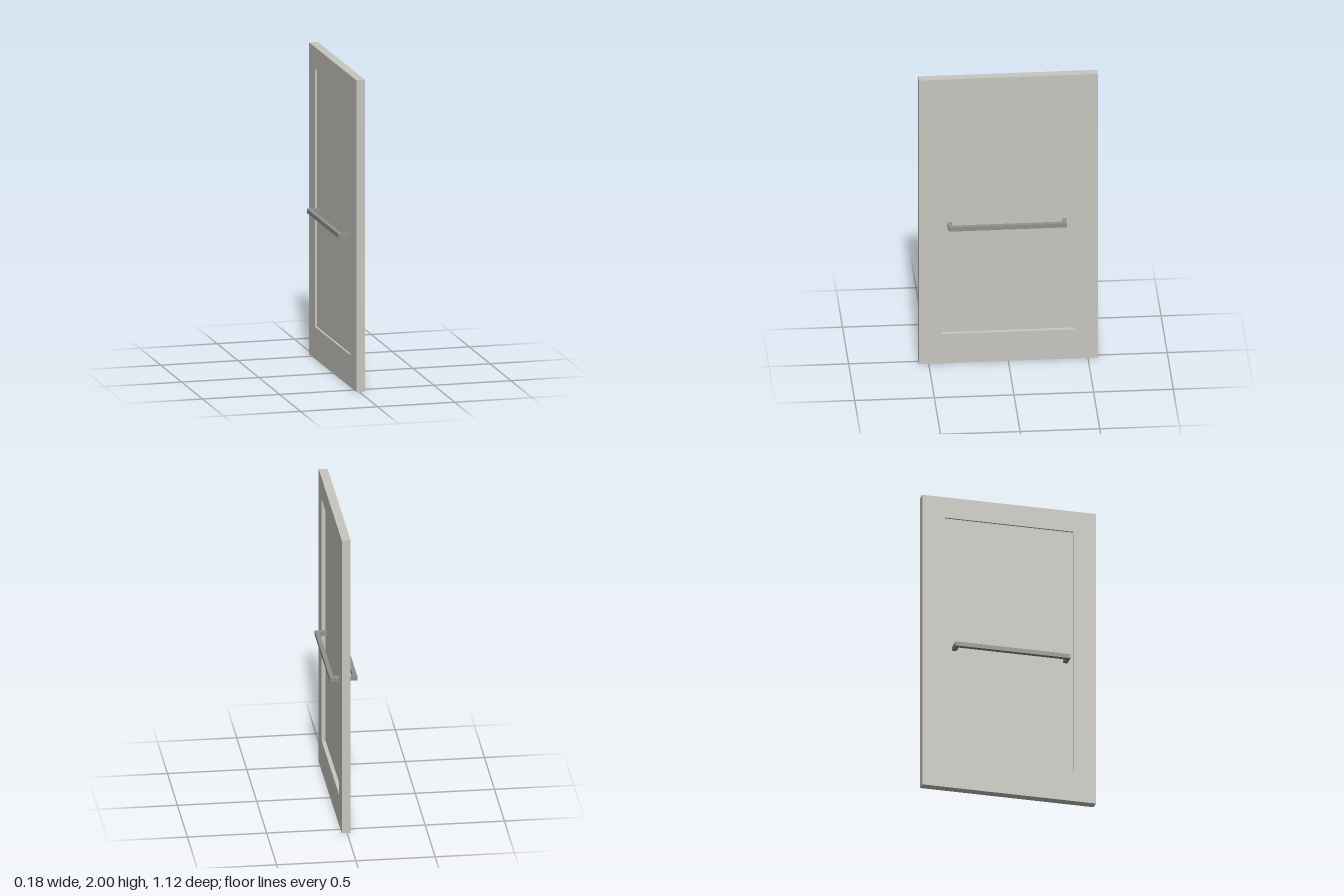
import * as THREE from 'three';

export function createModel() {
  const door = new THREE.Group();
  door.name = 'door';
  const paint = new THREE.MeshStandardMaterial({ name: 'warm grey paint', color: 0xc8c6c0 });
  const metal = new THREE.MeshStandardMaterial({ name: 'handle grey metal', color: 0x929090 });

  // Box given by its minimum and maximum corners
  function box(name, material, min, max, parent) {
    const size = max.map((v, i) => v - min[i]);
    const mesh = new THREE.Mesh(new THREE.BoxGeometry(...size), material);
    mesh.position.set(...min.map((v, i) => (v + max[i]) / 2));
    mesh.name = name;
    parent.add(mesh);
  }

  function rectangle(path, halfWidth, bottom, top) {
    path.moveTo(-halfWidth, bottom);
    path.lineTo(halfWidth, bottom);
    path.lineTo(halfWidth, top);
    path.lineTo(-halfWidth, top);
    path.closePath();
    return path;
  }

  // Frame with a rectangular opening, extruded along x
  const outline = rectangle(new THREE.Shape(), 0.562, 0, 2);
  outline.holes.push(rectangle(new THREE.Path(), 0.416, 0.206, 1.86));
  const frameGeometry = new THREE.ExtrudeGeometry(outline, { depth: 0.056, bevelEnabled: false });
  frameGeometry.rotateY(Math.PI / 2).translate(-0.02, 0, 0);
  const frame = new THREE.Mesh(frameGeometry, paint);
  frame.name = 'doorFrame';
  door.add(frame);

  // Panel set back from both faces, deeper on the +x side
  box('doorPanel', paint, [-0.007, 0.206, -0.416], [0.011, 1.86, 0.416], door);

  // Square pull bar with two posts on each face
  const bottom = 0.952, top = 0.98, back = -0.365, front = 0.38, thick = 0.027;
  for (const [name, face, outer] of [['leftHandle', 0.011, 0.0858], ['rightHandle', -0.007, -0.0885]]) {
    const handle = new THREE.Group();
    handle.name = name;
    const inner = outer - Math.sign(outer) * thick;
    const [barMin, barMax] = [inner, outer].sort((a, b) => a - b);
    const [postMin, postMax] = [face, inner].sort((a, b) => a - b);
    box('pullBar', metal, [barMin, bottom, back], [barMax, top, front], handle);
    for (const z of [back, front - thick]) {
      box('handlePost', metal, [postMin, bottom, z], [postMax, top, z + thick], handle);
    }
    door.add(handle);
  }

  // The door stands very slightly turned
  door.rotation.y = 0.0035;
  const model = new THREE.Group();
  model.name = 'doorModel';
  model.add(door);
  return model;
}
